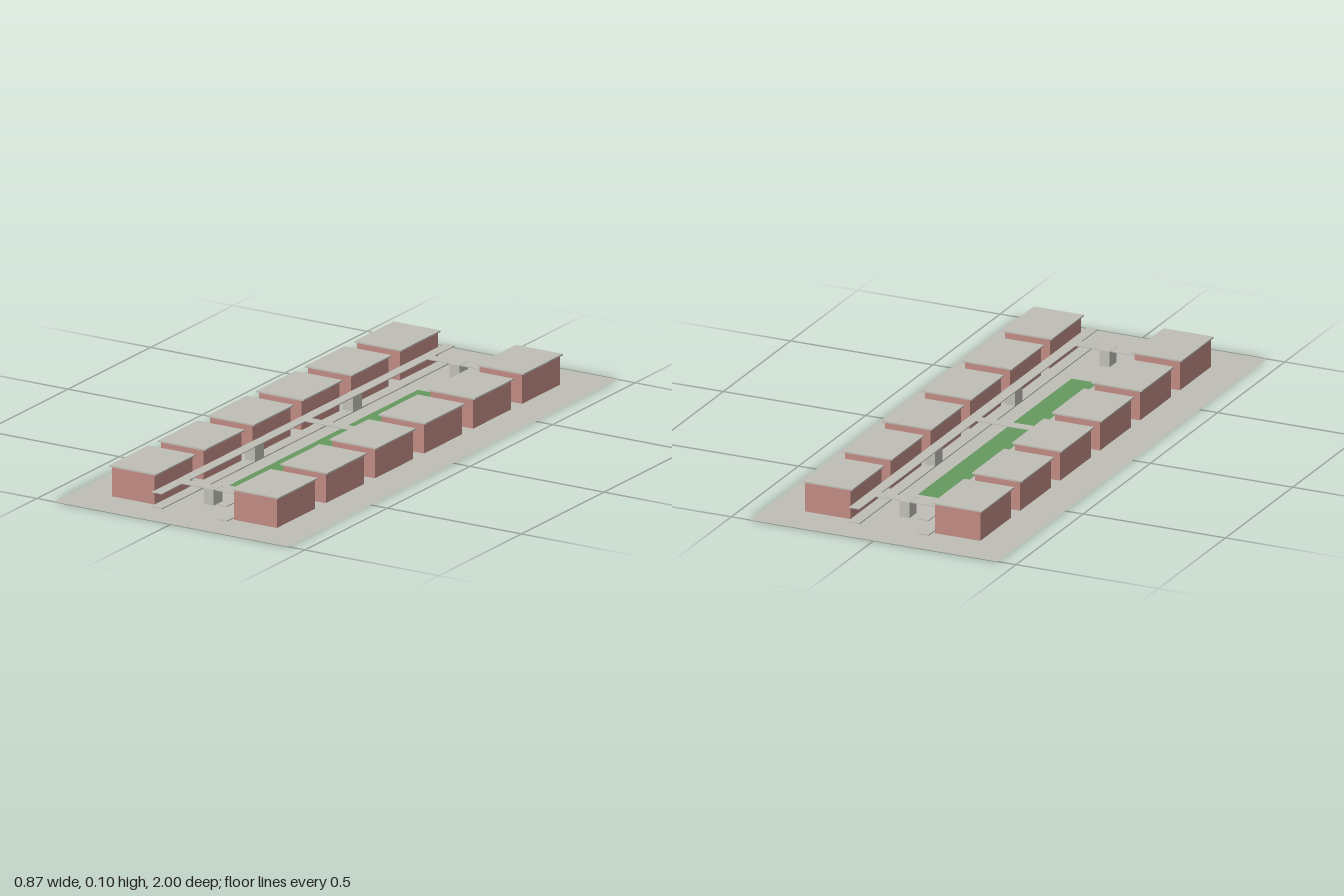
import * as THREE from 'three';

export function createModel() {
  const model = new THREE.Group();
  model.name = 'housingEstate';

  const mat = (name, color, side = THREE.FrontSide) => {
    const m = new THREE.MeshStandardMaterial({ color, side });
    m.name = name;
    return m;
  };
  const concrete = mat('concrete', 0xbfbeb6, THREE.DoubleSide);
  const brick = mat('brick', 0xc08a83);
  const grass = mat('grass', 0x669a5e, THREE.DoubleSide);

  // Box given by its centre on the ground plan, its size, and its bottom and top
  const block = (name, material, x, z, w, d, y0, y1) => {
    const mesh = new THREE.Mesh(new THREE.BoxGeometry(w, y1 - y0, d), material);
    mesh.position.set(x, (y0 + y1) / 2, z);
    mesh.name = name;
    model.add(mesh);
  };
  // Flat sheet lying at height y
  const sheet = (name, material, w, d, y) => {
    const mesh = new THREE.Mesh(new THREE.PlaneGeometry(w, d).rotateX(-Math.PI / 2), material);
    mesh.position.y = y;
    mesh.name = name;
    model.add(mesh);
  };

  sheet('ground', concrete, 0.874, 2, 0);
  sheet('lawn', grass, 0.094, 1.144, 0.002);

  const deckBottom = 0.05, deckTop = 0.053;

  for (const side of [-1, 1]) {
    // Six houses in a row, each with an overhanging flat roof
    for (let i = 0; i < 6; i++) {
      const z = (i - 2.5) * 0.297;
      block('houseWalls', brick, side * 0.228, z, 0.159, 0.23, 0.0005, 0.099);
      block('houseRoof', concrete, side * 0.228, z, 0.176, 0.238, 0.099, 0.104);
    }
    // Ground path with a raised walkway above it, carried on two piers
    block('groundPath', concrete, side * 0.121, 0, 0.037, 1.774, 0.0005, 0.004);
    block('raisedWalkway', concrete, side * 0.121, 0, 0.037, 1.774, deckBottom, deckTop);
    for (const end of [-1, 1])
      block('walkwayPier', concrete, side * 0.121, end * 0.297, 0.037, 0.056, 0.004, deckBottom);
    // End bridge with a central pier showing at both edges
    block('endBridge', concrete, 0, side * 0.744, 0.205, 0.039, deckBottom, deckTop);
    block('bridgePier', concrete, 0, side * 0.744, 0.036, 0.053, 0.0005, deckTop + 0.0005);
  }

  // Middle bridge over the lawn
  block('middleBridge', concrete, 0, 0, 0.205, 0.036, deckBottom, deckTop);

  return model;
}
